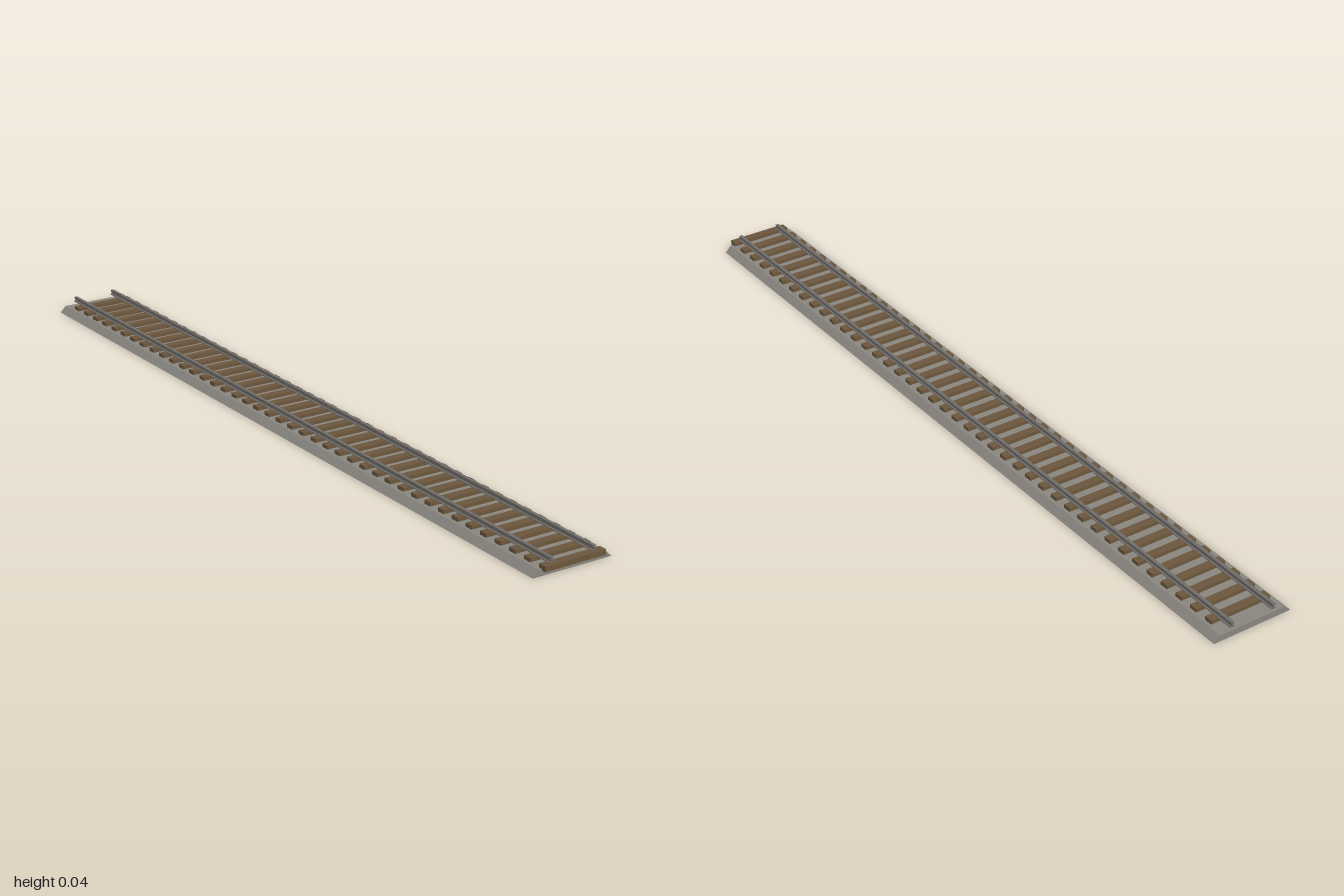
import * as THREE from 'three';

const HALF = 1.0235;      // half length of the track bed
const ANGLE = 0.3456;     // heading of the track on the ground

function mat(name, color) {
  const m = new THREE.MeshStandardMaterial({ color });
  m.name = name;
  return m;
}

// Extrudes a cross-section (across, up) along the track's x axis
function alongTrack(points, halfLength) {
  const shape = new THREE.Shape(points.map(([a, b]) => new THREE.Vector2(a, b)));
  const geo = new THREE.ExtrudeGeometry(shape, { depth: halfLength * 2, bevelEnabled: false });
  geo.translate(0, 0, -halfLength);
  geo.rotateY(Math.PI / 2);
  return geo;
}

export function createModel() {
  const model = new THREE.Group();
  model.name = 'railwayTrack';
  const track = new THREE.Group();
  track.name = 'trackSection';
  track.rotation.y = -ANGLE;
  model.add(track);

  const gravel = mat('gravel grey', 0x88857f);
  const wood = mat('sleeper brown', 0x6b563c);
  const steel = mat('rail steel', 0x706d69);

  // Ballast bed with sloping shoulders
  const bed = new THREE.Mesh(
    alongTrack([[-0.104, 0], [0.104, 0], [0.088, 0.0155], [-0.088, 0.0155]], HALF), gravel);
  bed.name = 'ballastBed';
  track.add(bed);

  // Sleepers, the last one sitting right on the end of the bed
  const count = 41;
  const spacing = (HALF * 2) / count;
  const sleeperGeo = new THREE.BoxGeometry(0.021, 0.0125, 0.16);
  for (let i = 1; i <= count; i++) {
    const sleeper = new THREE.Mesh(sleeperGeo, wood);
    sleeper.name = 'sleeper';
    sleeper.position.set(-HALF + i * spacing, 0.01825, 0);
    track.add(sleeper);
  }

  // Pair of rails with foot, web and head
  const half = [[0.0055, 0.0235], [0.0055, 0.0255], [0.0022, 0.027],
    [0.0022, 0.0315], [0.004, 0.0325], [0.004, 0.0365]];
  const profile = [...half, ...half.map(([a, b]) => [-a, b]).reverse()];
  const railGeo = alongTrack(profile, HALF);
  for (const side of [-1, 1]) {
    const rail = new THREE.Mesh(railGeo, steel);
    rail.name = side < 0 ? 'backRail' : 'frontRail';
    rail.position.z = side * 0.056;
    track.add(rail);
  }
  return model;
}
